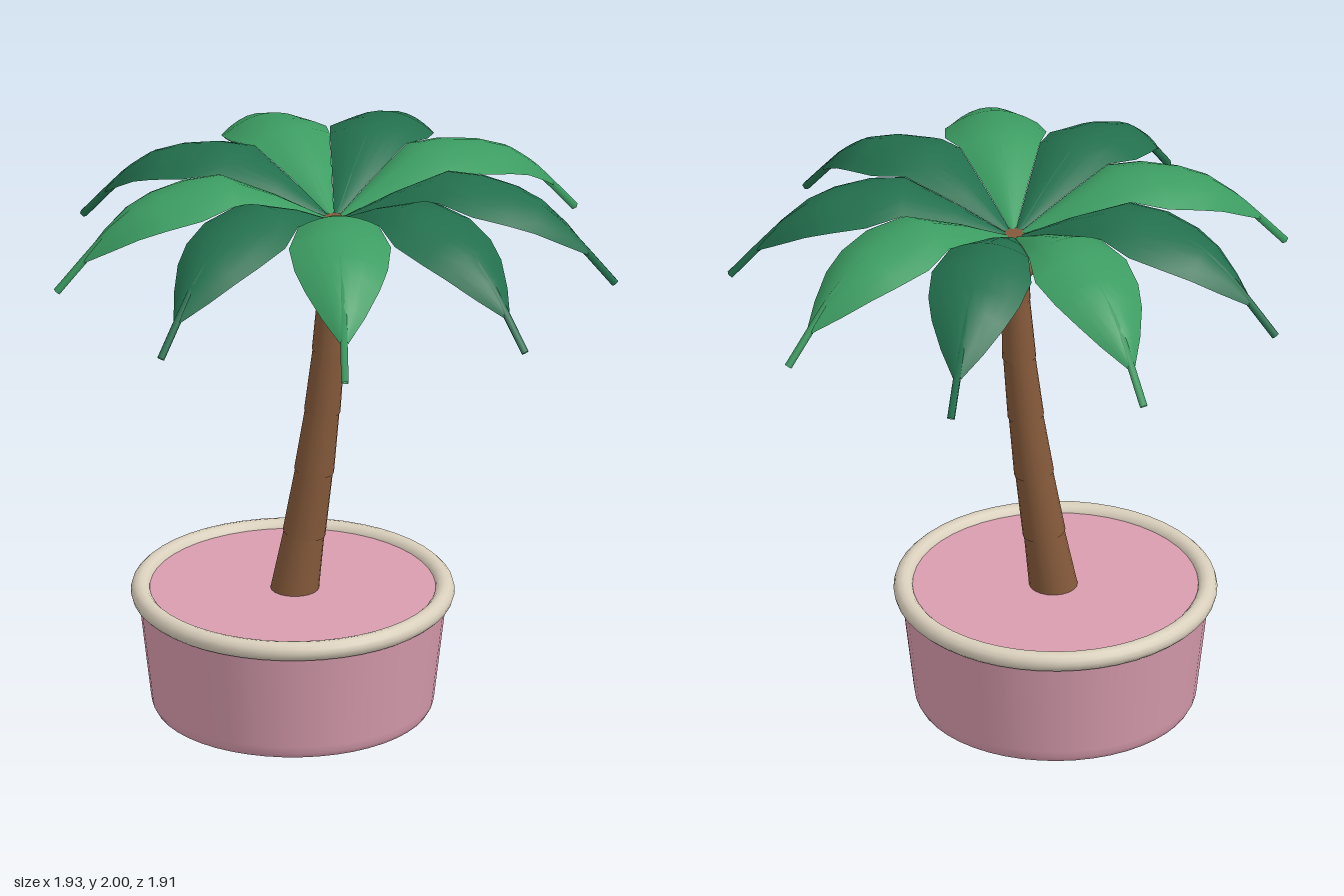
import * as THREE from 'three';

const mat = (name, color, side = THREE.FrontSide) => {
  const m = new THREE.MeshStandardMaterial({ color, side });
  m.name = name;
  return m;
};

// Spine of a frond: distance from crown, height, half width, droop of the margins
const STATIONS = [
  [0, 1.81, 0, 0], [0.2, 1.92, 0.072, 0.025], [0.38, 1.998, 0.138, 0.04],
  [0.5, 1.985, 0.175, 0.055], [0.62, 1.958, 0.16, 0.06], [0.71, 1.92, 0.128, 0.06],
  [0.8, 1.845, 0.075, 0.045], [0.88, 1.755, 0.014, 0.015],
];

// Arched leaf blade built from cross-sections along the spine
function bladeGeometry() {
  const across = 8, pos = [], idx = [];
  STATIONS.forEach(([r, y, w, drop], i) => {
    for (let j = 0; j <= across; j++) {
      const v = (j / across) * 2 - 1;
      pos.push(r, y - drop * v * v, w * v);
      if (i && j) {
        const d = i * (across + 1) + j, c = d - 1, b = d - across - 1, a = b - 1;
        idx.push(a, b, c, b, d, c);
      }
    }
  });
  const g = new THREE.BufferGeometry();
  g.setAttribute('position', new THREE.Float32BufferAttribute(pos, 3));
  g.setIndex(idx);
  g.computeVertexNormals();
  return g;
}

export function createModel() {
  const model = new THREE.Group();
  model.name = 'pottedPalm';
  const pink = mat('pinkPot', 0xd89cae);
  const cream = mat('creamRim', 0xd9cfbc);
  const bark = mat('barkBrown', 0x84593a);
  const nut = mat('nutBrown', 0x8c5f40);
  const light = mat('lightGreen', 0x3c9d62, THREE.DoubleSide);
  const dark = mat('darkGreen', 0x23704e, THREE.DoubleSide);

  const add = (name, geometry, material, parent = model) => {
    const m = new THREE.Mesh(geometry, material);
    m.name = name;
    parent.add(m);
    return m;
  };

  // Pot with rounded foot, rolled rim and flat fill
  const pot = new THREE.Group();
  pot.name = 'pot';
  pot.position.set(-0.135, 0, 0.065);
  model.add(pot);
  const profile = [[0, 0], [0.44, 0], [0.455, 0.001], [0.473, 0.008], [0.482, 0.025],
    [0.486, 0.05], [0.527, 0.4], [0.53, 0.43]].map(p => new THREE.Vector2(...p));
  add('potBody', new THREE.LatheGeometry(profile, 48), pink, pot);
  const rim = add('rim', new THREE.TorusGeometry(0.521, 0.034, 12, 48), cream, pot);
  rim.rotation.x = -Math.PI / 2;
  rim.position.y = 0.428;
  const fill = add('potFill', new THREE.CircleGeometry(0.52, 48), pink, pot);
  fill.rotation.x = -Math.PI / 2;
  fill.position.y = 0.438;

  // Leaning trunk of stacked, slightly flared segments: x, y, z, radius
  const trunk = new THREE.Group();
  trunk.name = 'trunk';
  model.add(trunk);
  const rings = [[-0.128, 0.43, 0.065, 0.08], [-0.097, 0.65, 0.053, 0.071],
    [-0.063, 0.885, 0.047, 0.066], [-0.036, 1.11, 0.04, 0.06],
    [-0.014, 1.34, 0.035, 0.056], [-0.002, 1.57, 0.031, 0.05], [0, 1.82, 0.026, 0.042]];
  const up = new THREE.Vector3(0, 1, 0);
  for (let i = 0; i < rings.length - 1; i++) {
    const a = new THREE.Vector3(...rings[i]), b = new THREE.Vector3(...rings[i + 1]);
    const dir = b.clone().sub(a);
    const seg = add('trunkSegment', new THREE.CylinderGeometry(
      rings[i + 1][3] * 0.98, rings[i][3] * 1.04, dir.length() + 0.012, 20), bark, trunk);
    seg.position.copy(a).add(b).multiplyScalar(0.5);
    seg.quaternion.setFromUnitVectors(up, dir.normalize());
  }

  // Three nuts under the crown
  for (let i = 0; i < 3; i++) {
    const a = i * Math.PI * 2 / 3;
    const s = add('coconut', new THREE.SphereGeometry(0.05, 20, 14), nut);
    s.position.set(0.094 * Math.cos(a), 1.75, 0.025 + 0.094 * Math.sin(a));
  }

  // Nine fronds in alternating greens, each with a stem running out past the tip
  const blade = bladeGeometry();
  const spine = new THREE.CurvePath();
  const pts = [...STATIONS.map(([r, y]) => [r, y - 0.014]), [0.972, 1.635]]
    .map(([r, y]) => new THREE.Vector3(r, y, 0));
  for (let i = 1; i < pts.length; i++) spine.add(new THREE.LineCurve3(pts[i - 1], pts[i]));
  const stem = new THREE.TubeGeometry(spine, 24, 0.014, 5);
  for (let i = 0; i < 9; i++) {
    const frond = new THREE.Group();
    frond.name = 'frond';
    frond.position.set(0, 0, 0.02);
    frond.rotation.y = -THREE.MathUtils.degToRad(28.8 + i * 40);
    const green = i % 2 ? light : dark;
    add('blade', blade, green, frond);
    add('stem', stem, green, frond);
    model.add(frond);
  }
  return model;
}
